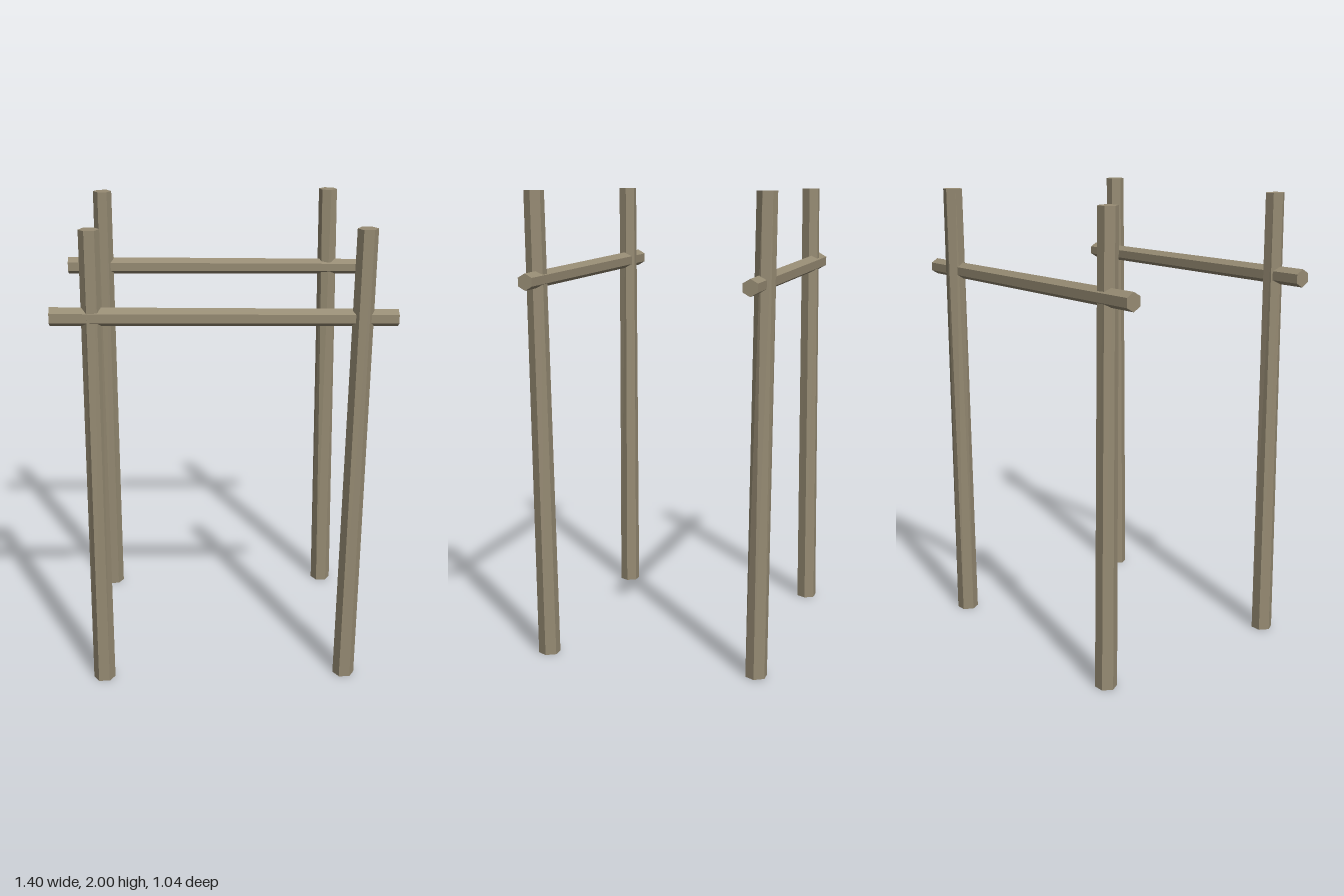
import * as THREE from 'three';

const wood = new THREE.MeshStandardMaterial({ color: 0x968b73, flatShading: true });
wood.name = 'weathered wood';

// Six-sided log, standing on y = 0; its top is moved by (dx, dz) and twisted
function log(name, rBottom, rTop, length, dx, dz, twist) {
  const geo = new THREE.CylinderGeometry(rTop, rBottom, length, 6);
  geo.rotateY(Math.PI / 6).translate(0, length / 2, 0);
  const p = geo.attributes.position;
  const c = Math.cos(twist), s = Math.sin(twist);
  for (let i = 0; i < p.count; i++) {
    if (p.getY(i) < length / 2) continue;
    const x = p.getX(i), z = p.getZ(i);
    p.setX(i, x * c - z * s + dx);
    p.setZ(i, x * s + z * c + dz);
  }
  const flat = geo.toNonIndexed();
  flat.computeVertexNormals();
  const mesh = new THREE.Mesh(flat, wood);
  mesh.name = name;
  return mesh;
}

export function createModel() {
  const model = new THREE.Group();
  model.name = 'postFrame';

  // Posts: name, side, front/back, lean of the top in x and z, twist in degrees
  const posts = [
    ['frontLeftPost', 1, 1, 0.03, 0.013, 0],
    ['frontRightPost', -1, 1, 0, -0.006, -5],
    ['backLeftPost', 1, -1, -0.015, -0.02, 14],
    ['backRightPost', -1, -1, 0.002, 0.014, -2],
  ];
  for (const [name, sx, sz, dx, dz, deg] of posts) {
    const post = log(name, 0.047, 0.042, 2, dx, dz, THREE.MathUtils.degToRad(deg));
    post.position.set(sx * 0.532, 0, sz * 0.467);
    model.add(post);
  }

  // Crossbeams, rising slightly towards +x
  for (const [name, sz] of [['frontBeam', 1], ['backBeam', -1]]) {
    const beam = log(name, 0.039, 0.035, 1.4, -0.016, 0, 0);
    beam.geometry.rotateY(Math.PI / 2).rotateX(Math.PI / 2).rotateY(Math.PI / 2);
    // Level the log along x and lift its far end
    beam.geometry.computeBoundingBox();
    beam.position.set(-0.7, 1.652, sz * 0.467);
    model.add(beam);
  }
  return model;
}
